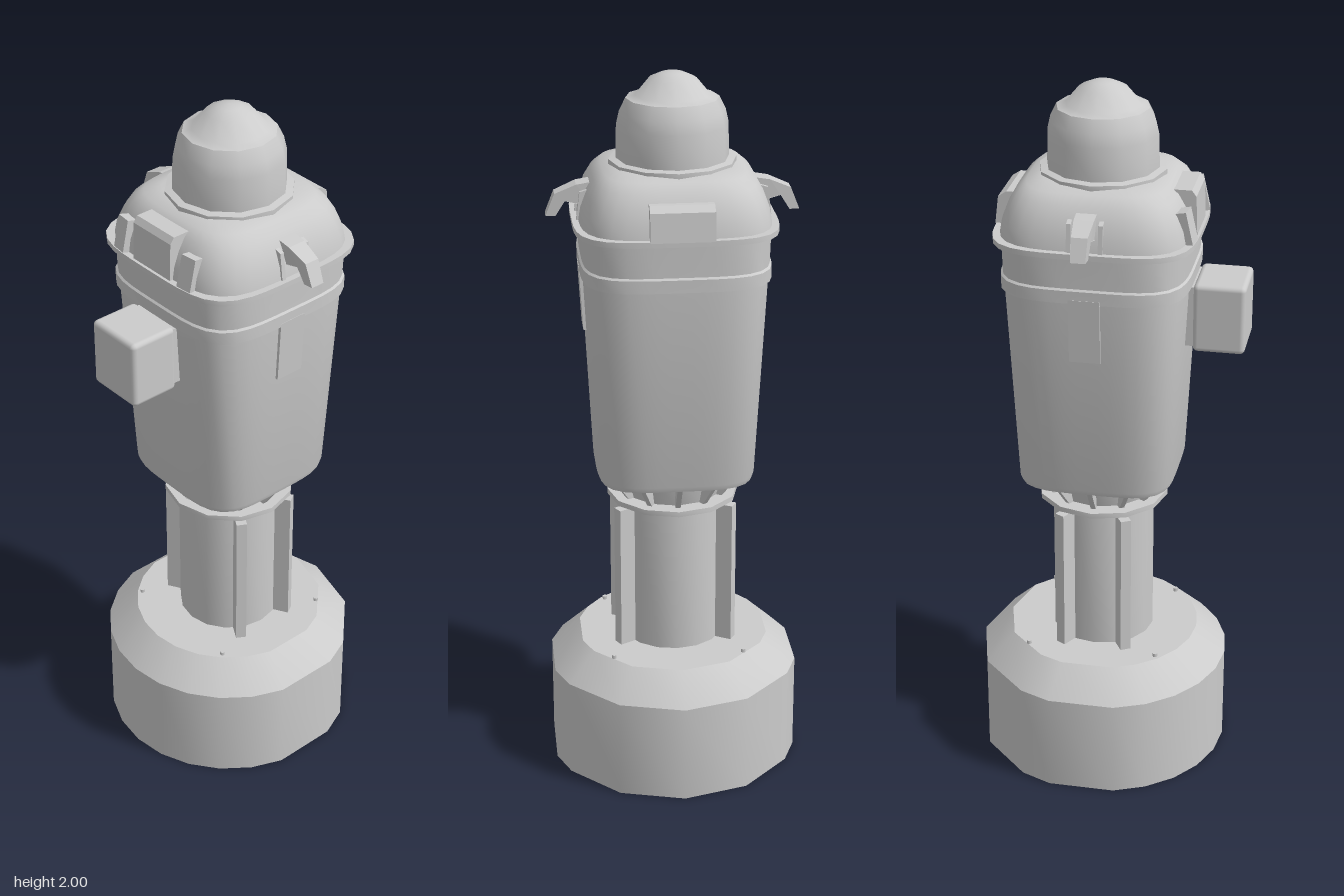
import * as THREE from 'three';
import { toCreasedNormals } from 'three/addons/utils/BufferGeometryUtils.js';
import { RoundedBoxGeometry } from 'three/addons/geometries/RoundedBoxGeometry.js';

const grey = new THREE.MeshStandardMaterial({ color: 0xcccccc, side: THREE.DoubleSide });
const evenAngles = (n) => Array.from({ length: n }, (_, i) => (i / n) * Math.PI * 2);

// Stacks closed rings [height, half width]; power 2 is round, 4 is a rounded square
function loft(rings, angles, power = 2, crease = 0.6) {
  const pos = [], index = [], n = angles.length;
  for (const [y, half] of rings) {
    for (const a of angles) {
      const s = Math.sin(a), c = Math.cos(a);
      const r = half / Math.pow(Math.abs(s) ** power + Math.abs(c) ** power, 1 / power);
      pos.push(r * s, y, r * c);
    }
  }
  for (let j = 0; j < rings.length - 1; j++) {
    for (let i = 0; i < n; i++) {
      const a = j * n + i, b = j * n + (i + 1) % n;
      if (rings[j][1] > 0) index.push(a, b, a + n);
      if (rings[j + 1][1] > 0) index.push(b, b + n, a + n);
    }
  }
  const g = new THREE.BufferGeometry();
  g.setAttribute('position', new THREE.Float32BufferAttribute(pos, 3));
  g.setIndex(index);
  return toCreasedNormals(g, crease);
}

// Side profile extruded symmetrically about its plane
function plate(points, width) {
  const shape = new THREE.Shape(points.map(([x, y]) => new THREE.Vector2(x, y)));
  const g = new THREE.ExtrudeGeometry(shape, { depth: width, bevelEnabled: false });
  return g.translate(0, 0, -width / 2);
}

export function createModel() {
  const model = new THREE.Group();
  const body = new THREE.Group();
  body.name = 'machine';
  body.position.z = -0.02;
  model.add(body);

  const add = (name, geometry, x = 0, y = 0, z = 0, ry = 0) => {
    const mesh = new THREE.Mesh(geometry, grey);
    mesh.name = name;
    mesh.position.set(x, y, z);
    mesh.rotation.y = ry;
    body.add(mesh);
    return mesh;
  };

  // Hollow base with uneven sides and a chamfered top
  const half = [0, 15, 30, 45, 60, 75, 105, 120, 150, 180];
  const baseAngles = [...half, ...half.slice(1, -1).reverse().map((d) => 360 - d)]
    .map(THREE.MathUtils.degToRad);
  add('base', loft([[0, 0.36], [0.285, 0.36], [0.365, 0.275], [0.365, 0]], baseAngles));

  // Base bolts
  for (let i = 0; i < 4; i++) {
    const a = Math.PI / 4 + i * Math.PI / 2;
    add('baseBolt', new THREE.CylinderGeometry(0.007, 0.007, 0.012, 6),
      0.26 * Math.sin(a), 0.369, 0.26 * Math.cos(a));
  }

  // Post with four fins
  const round = evenAngles(12);
  add('post', loft([[0.365, 0.145], [0.8, 0.145]], evenAngles(16)));
  for (const d of [60, 120, 240, 300]) {
    const a = THREE.MathUtils.degToRad(d);
    add('postFin', new THREE.BoxGeometry(0.03, 0.42, 0.07),
      0.155 * Math.sin(a), 0.575, 0.155 * Math.cos(a), a);
  }
  add('collar', loft([[0.795, 0], [0.795, 0.185], [0.81, 0.185], [0.81, 0]], round));

  // Neck and its tapered ribs
  add('neck', loft([[0.81, 0.14], [0.89, 0.16]], round));
  for (const a of evenAngles(12)) {
    add('neckRib', plate([[0.1, 0.81], [0.155, 0.81], [0.21, 0.888], [0.1, 0.888]], 0.014),
      0, 0, 0, a);
  }

  // Tapered rounded-square housing, band and flange
  const square = evenAngles(48);
  add('housing', loft([[0.885, 0], [0.885, 0.214], [0.9, 0.219], [1.475, 0.248]], square, 4.2));
  add('band', loft([[1.47, 0.24], [1.47, 0.256], [1.505, 0.256], [1.51, 0.251], [1.605, 0.254]],
    square, 4.2));
  add('flange', loft([[1.6, 0.24], [1.6, 0.274], [1.615, 0.274], [1.615, 0.24]], square, 4.2));
  add('cap', loft([[1.612, 0.257], [1.65, 0.251], [1.69, 0.236], [1.725, 0.216],
    [1.748, 0.19], [1.758, 0.15], [1.758, 0]], square, 4));

  // Top ring and stepped dome
  add('topRing', loft([[1.752, 0.172], [1.766, 0.172], [1.77, 0.15]], round));
  add('dome', loft([[1.768, 0.152], [1.86, 0.15], [1.895, 0.142], [1.93, 0.125], [1.937, 0.1],
    [1.98, 0.064], [1.995, 0.03], [2, 0]], round, 2, 0.7));

  // Front control box on its mounting plate
  add('frontBoxMount', new THREE.BoxGeometry(0.15, 0.17, 0.05), 0, 1.38, 0.243);
  add('frontBox', new RoundedBoxGeometry(0.172, 0.194, 0.142, 2, 0.014), 0, 1.379, 0.33);

  // Cap blocks: front and back vents
  const frontProfile = [[0.15, 1.613], [0.266, 1.613], [0.262, 1.72], [0.25, 1.737], [0.15, 1.737]];
  const backProfile = [[0.15, 1.613], [0.277, 1.613], [0.268, 1.69], [0.245, 1.705], [0.15, 1.705]];
  add('frontVent', plate(frontProfile, 0.148), 0, 0, 0, -Math.PI / 2);
  add('backVent', plate(backProfile, 0.17), 0, 0, 0, Math.PI / 2);

  for (const side of [1, -1]) {
    // Leaning clips beside the front vent
    const clip = add('frontClip', new THREE.BoxGeometry(0.046, 0.09, 0.05), side * 0.128, 1.656, 0.236);
    clip.rotation.set(-0.22, side * 0.15, 0);

    const turn = side > 0 ? 0 : Math.PI;
    // Downturned side hook, narrowing to its tip
    const hook = plate([[0.2, 1.64], [0.25, 1.65], [0.29, 1.66], [0.315, 1.62], [0.342, 1.62],
      [0.318, 1.68], [0.26, 1.705], [0.2, 1.715]], 0.055);
    const p = hook.attributes.position;
    for (let i = 0; i < p.count; i++) {
      p.setZ(i, p.getZ(i) * (1 - 3 * Math.max(0, p.getX(i) - 0.25)));
    }
    hook.computeVertexNormals();
    add('sideHook', hook, 0, 0, 0, turn);

    // Small ribs either side of the hook
    for (const z of [-0.042, 0.042]) {
      add('hookRib', plate([[0.22, 1.613], [0.262, 1.613], [0.252, 1.69], [0.22, 1.7]], 0.012),
        0, 0, z, turn);
    }

    // Strap running down the side of the housing
    add('sideStrap', plate([[0.2, 1.3], [0.247, 1.3], [0.257, 1.48], [0.2, 1.48]], 0.084),
      0, 0, side * 0.003, turn);
  }
  return model;
}
